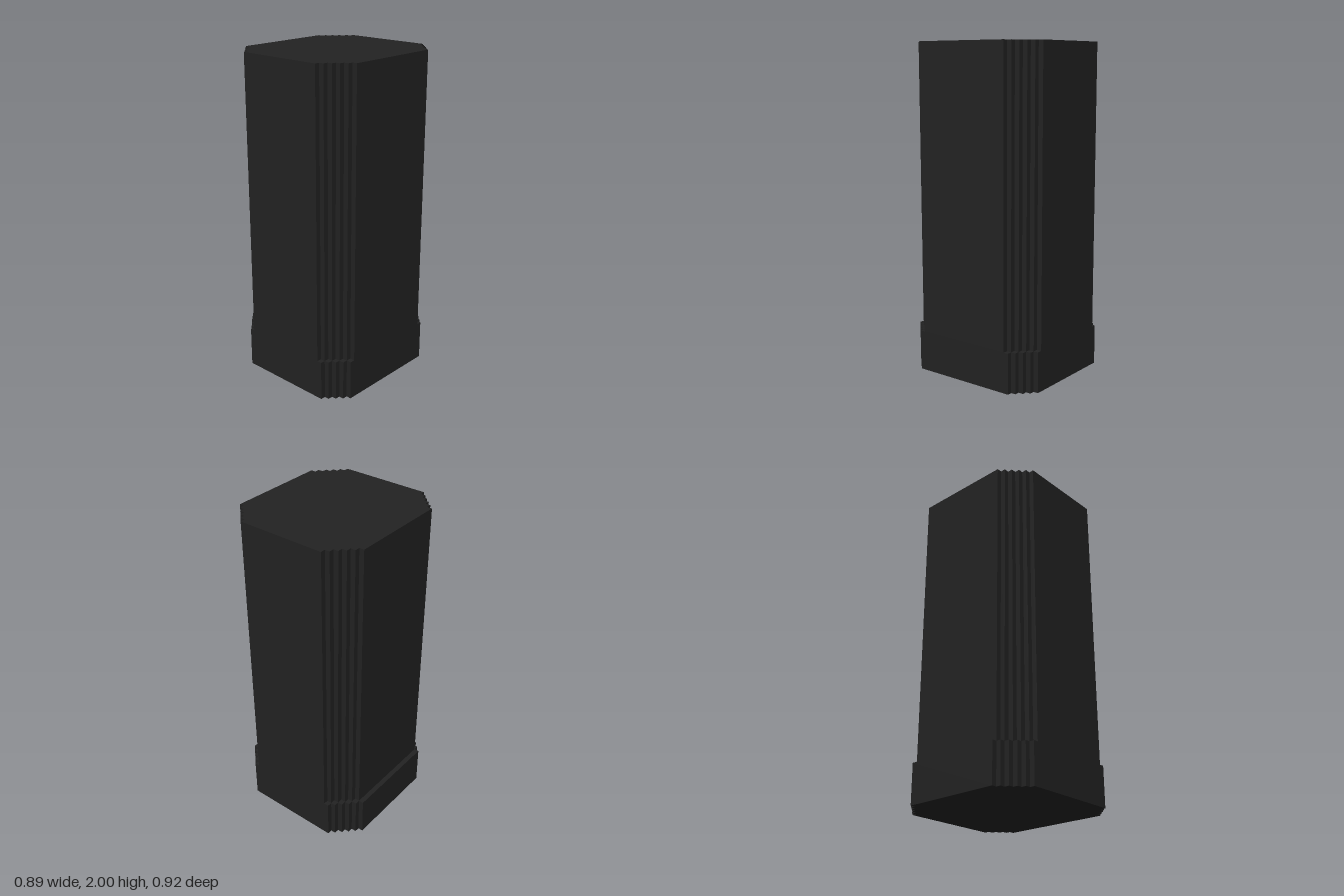
import * as THREE from 'three';

const CELL = 2 / 65; // edge of one block
const CENTRE_X = CELL / 2;

// Stair-stepped quarter outline, from the flat front edge round to the side edge.
function quarter(flat, width, depth) {
  const points = [];
  for (let i = 0; flat + i <= width; i++) {
    points.push([flat + i, depth - i]);
    if (flat + i < width) points.push([flat + i, depth - i - 1]);
  }
  // the last tread drops straight to the side edge
  return points;
}

// Closed outline with separate left and right corner steps, in cells.
function outline(right, left, depth) {
  const r = quarter(right.flat, right.width, depth);
  const l = quarter(left.flat, left.width, depth).map(([x, z]) => [-x, z]);
  const back = (list) => list.map(([x, z]) => [x, -z]);
  const loop = [
    ...r,
    ...back(r).reverse(),
    ...back(l),
    ...[...l].reverse(),
  ];
  return new THREE.Shape(loop.map(([x, z]) => new THREE.Vector2(x * CELL + CENTRE_X, z * CELL)));
}

function prism(name, shape, bottom, top, material) {
  const geometry = new THREE.ExtrudeGeometry(shape, { depth: (top - bottom) * CELL, bevelEnabled: false });
  geometry.rotateX(-Math.PI / 2);
  geometry.translate(0, bottom * CELL, 0);
  const mesh = new THREE.Mesh(geometry, material);
  mesh.name = name;
  return mesh;
}

export function createModel() {
  const group = new THREE.Group();
  group.name = 'steppedColumn';
  const charcoal = new THREE.MeshStandardMaterial({ color: 0x222222 });
  charcoal.name = 'charcoal';

  // Base: fuller corners, and one extra layer of blocks on the -x side
  const base = outline({ flat: 10, width: 14 }, { flat: 10, width: 15 }, 15);
  group.add(prism('base', base, 0, 8, charcoal));

  // Tall shaft with five-step corners
  const shaft = outline({ flat: 9, width: 14 }, { flat: 9, width: 14 }, 15);
  group.add(prism('shaft', shaft, 8, 65, charcoal));

  return group;
}
